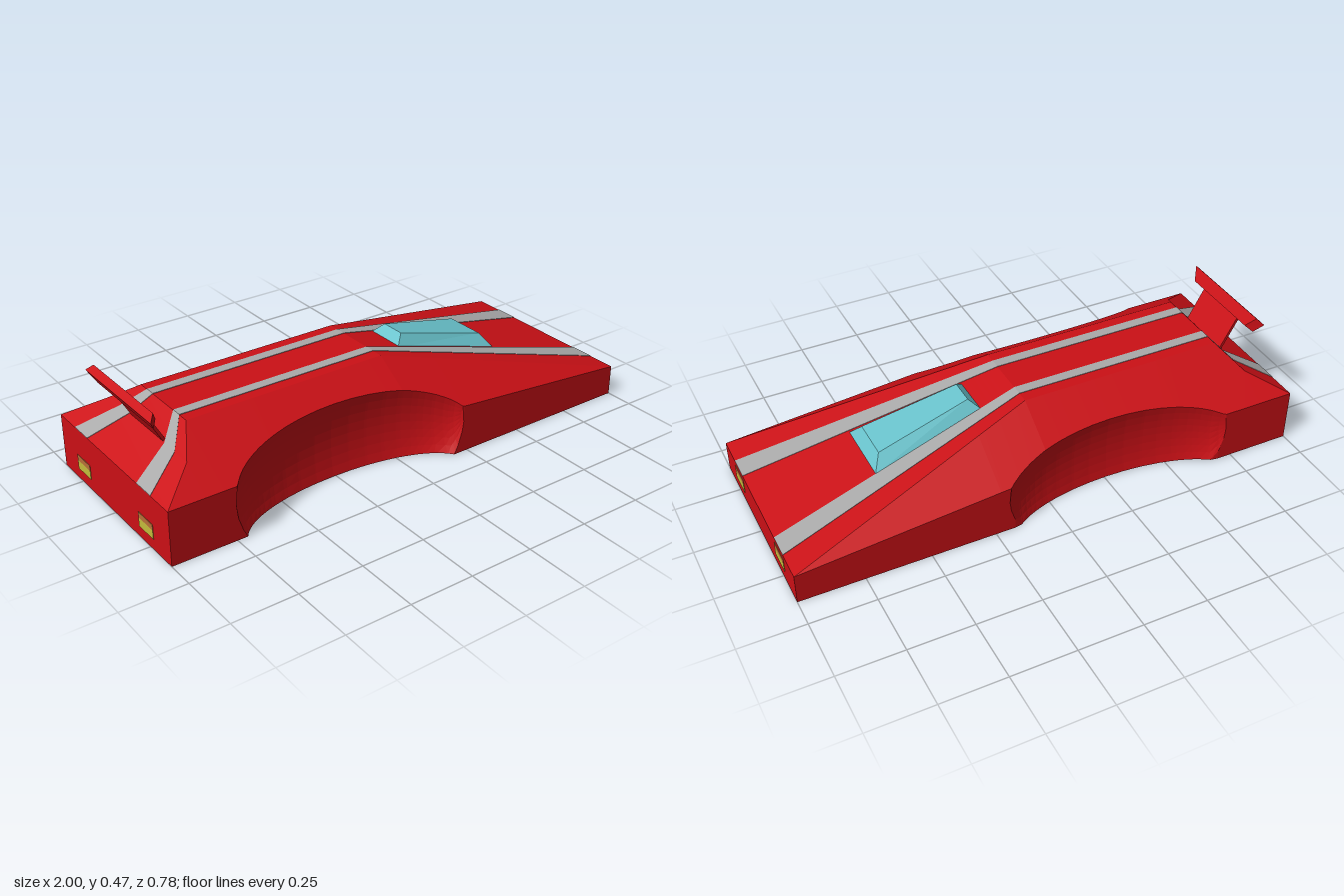
import * as THREE from 'three';

const paint = (color) => new THREE.MeshStandardMaterial({ color, flatShading: true, side: THREE.DoubleSide });
const lerp = THREE.MathUtils.lerp;
const HALF = 0.39;

// Body knots: x, shoulder height, roof height, roof half width, stripe inner and outer z
const KNOTS = [
  [-1, 0.21, 0.21, 0.388, 0.18, 0.275],
  [-0.86, 0.21, 0.287, 0.275, 0.125, 0.195],
  [-0.79, 0.21, 0.366, 0.157, 0.071, 0.112],
  [0.02, 0.21, 0.366, 0.157, 0.071, 0.112],
  [1, 0.12, 0.12, 0.388, 0.18, 0.275],
];

function bodyAt(x) {
  let i = 0;
  while (i < KNOTS.length - 2 && x > KNOTS[i + 1][0]) i++;
  const [a, b] = [KNOTS[i], KNOTS[i + 1]];
  const t = (x - a[0]) / (b[0] - a[0]);
  return a.map((v, k) => lerp(v, b[k], t));
}

// Ellipsoid scooped out of each flank
const ARCH = { x: -0.26, y: 0.14, rx: 0.5, ry: 0.36, rz: 0.194 };
const ARCH_Z = { 1: 0.43, '-1': 0.47 };
const archReach = (sign) => ARCH.rx * Math.sqrt(1 - ((ARCH_Z[sign] - HALF) / ARCH.rz) ** 2);

// One flank of a cross-section, from the floor up to the roof edge
function flank(x, sign, rows = 8) {
  const [, shoulder, roofY, roofZ] = bodyAt(x);
  const bodyZ = (y) => (y <= shoulder ? HALF : lerp(HALF, roofZ, (y - shoulder) / (roofY - shoulder)));
  const archZ = (y) => {
    const k = 1 - ((x - ARCH.x) / ARCH.rx) ** 2 - ((y - ARCH.y) / ARCH.ry) ** 2;
    return k > 0 ? ARCH_Z[sign] - ARCH.rz * Math.sqrt(k) : Infinity;
  };
  const cut = (y) => archZ(y) < bodyZ(y);
  const rim = (inside, outside) => {
    if (cut(outside)) return outside;
    for (let i = 0; i < 30; i++) {
      const mid = (inside + outside) / 2;
      if (cut(mid)) inside = mid; else outside = mid;
    }
    return inside;
  };
  const hasArch = cut(ARCH.y);
  const low = hasArch ? rim(ARCH.y, 0) : shoulder * 0.66;
  const high = hasArch ? rim(ARCH.y, roofY) : low;
  const heights = [0];
  for (let i = 0; i <= rows; i++) heights.push(lerp(low, high, i / rows));
  heights.push(Math.max(high, shoulder), roofY);
  return heights.map((y) => new THREE.Vector3(x, y, sign * Math.min(bodyZ(y), archZ(y))));
}

// Joins closed sections placed along x, with end caps
function loft(sections) {
  const pos = [];
  const tri = (a, b, c) => {
    const area = b.clone().sub(a).cross(c.clone().sub(a)).length();
    if (area > 1e-9) for (const p of [a, b, c]) pos.push(p.x, p.y, p.z);
  };
  const n = sections[0].length;
  for (let i = 0; i < sections.length - 1; i++) {
    for (let j = 0; j < n; j++) {
      const k = (j + 1) % n;
      const [a, b, c, d] = [sections[i][j], sections[i + 1][j], sections[i + 1][k], sections[i][k]];
      tri(a, b, c);
      tri(a, c, d);
    }
  }
  const [first, last] = [sections[0], sections[sections.length - 1]];
  for (let j = 1; j < n - 1; j++) {
    tri(first[0], first[j], first[j + 1]);
    tri(last[0], last[j + 1], last[j]);
  }
  const geo = new THREE.BufferGeometry();
  geo.setAttribute('position', new THREE.Float32BufferAttribute(pos, 3));
  geo.computeVertexNormals();
  return geo;
}

// Four-sided block, mirrored in z; each end lists [x, y, halfWidth] for its lower and upper edge
function block(rear, front) {
  const ring = ([[x0, y0, w0], [x1, y1, w1]]) => [
    new THREE.Vector3(x0, y0, w0), new THREE.Vector3(x1, y1, w1),
    new THREE.Vector3(x1, y1, -w1), new THREE.Vector3(x0, y0, -w0)];
  return loft([ring(rear), ring(front)]);
}

export function createModel() {
  const car = new THREE.Group();
  car.name = 'wedgeCar';
  const red = paint(0xcc1016);
  const grey = paint(0xaaaaaa);
  const glass = paint(0x69c3cc);
  const yellow = paint(0xc4bc3c);
  const orange = paint(0xb87038);
  const add = (name, geo, mat) => {
    const mesh = new THREE.Mesh(geo, mat);
    mesh.name = name;
    car.add(mesh);
    return mesh;
  };

  // Body: sections at every knot, and close together across the arches
  const xs = KNOTS.map((k) => k[0]);
  for (const sign of [1, -1]) {
    for (let i = 0; i <= 20; i++) xs.push(ARCH.x - archReach(sign) * Math.cos((Math.PI * i) / 20));
  }
  xs.sort((a, b) => a - b);
  add('body', loft(xs.map((x) => [...flank(x, 1), ...flank(x, -1).reverse()])), red);

  // Pair of racing stripes that follow the top of the body
  for (const sign of [1, -1]) {
    const sections = KNOTS.map(([x, , y, , inner, outer]) => {
      const [a, b] = sign > 0 ? [outer, inner] : [-inner, -outer];
      return [[-0.002, a], [0.002, a], [0.002, b], [-0.002, b]]
        .map(([dy, z]) => new THREE.Vector3(x, y + dy, z));
    });
    add(sign > 0 ? 'leftStripe' : 'rightStripe', loft(sections), grey);
  }

  // Canopy
  add('canopy', block(
    [[0.16, 0.325, 0.085], [0.2, 0.362, 0.05]],
    [[0.6, 0.218, 0.132], [0.565, 0.271, 0.082]]), glass).position.z = -0.004;

  // Rear wing on its leaning stand
  add('wingStand', block(
    [[-0.853, 0.28, 0.115], [-0.925, 0.41, 0.115]],
    [[-0.843, 0.285, 0.115], [-0.915, 0.415, 0.115]]), red);
  add('wing', block(
    [[-0.932, 0.4, 0.2], [-0.957, 0.443, 0.233]],
    [[-0.91, 0.42, 0.175], [-0.935, 0.465, 0.21]]), red);

  // Lamps at both ends: yellow lens under an orange band
  for (const end of [1, -1]) {
    for (const side of [1, -1]) {
      const lamp = (name, y0, y1, mat) => add(name, new THREE.BoxGeometry(0.01, y1 - y0, 0.097), mat)
        .position.set(end * 0.997, (y0 + y1) / 2, side * 0.227);
      const place = end > 0 ? 'noseLamp' : 'tailLamp';
      lamp(place + 'Lens', 0.043, 0.078, yellow);
      lamp(place + 'Band', 0.078, 0.1, orange);
    }
  }
  return car;
}
